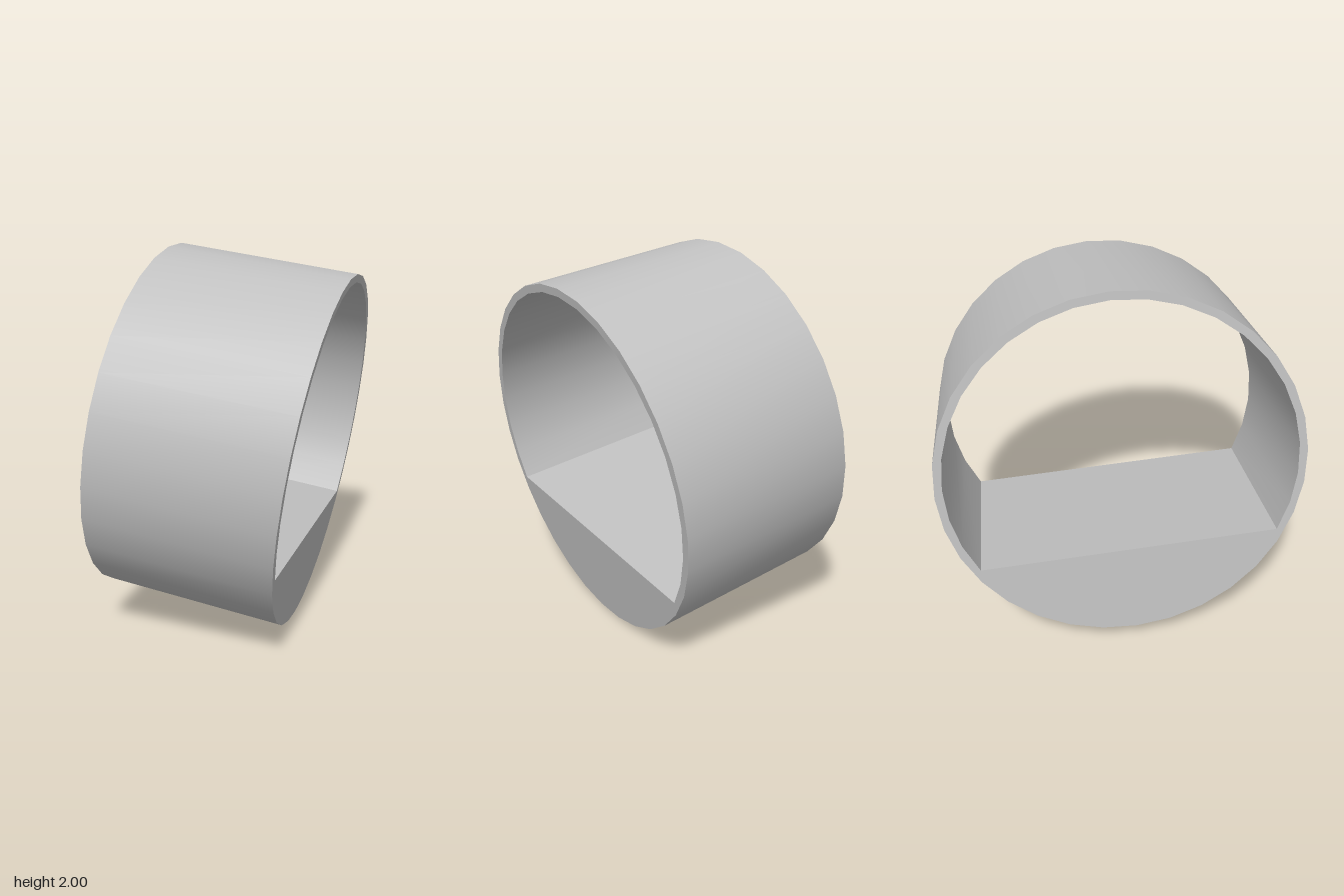
import * as THREE from 'three';
import { toCreasedNormals } from 'three/addons/utils/BufferGeometryUtils.js';

const OUTER = 0.942, INNER = 0.9, LENGTH = 0.96, SIDES = 32;

// Points along a circular arc
function arc(radius, from, to, steps) {
  return Array.from({ length: steps + 1 }, (_, i) => {
    const t = from + (to - from) * i / steps;
    return new THREE.Vector2(Math.cos(t) * radius, Math.sin(t) * radius);
  });
}

export function createModel() {
  const grey = new THREE.MeshStandardMaterial({ color: 0xc0c0c0 });
  grey.name = 'light grey';

  // Round outline with a D-shaped bore: the arc closes along a flat floor at half radius
  const outline = new THREE.Shape(arc(OUTER, 0, Math.PI * 2, SIDES).slice(0, -1));
  outline.holes.push(new THREE.Path(arc(INNER, -Math.PI / 6, Math.PI * 7 / 6, 22)));

  // Sleeve with smooth walls and sharp rims
  const solid = new THREE.ExtrudeGeometry(outline, { depth: LENGTH, bevelEnabled: false });
  solid.translate(0, 0, -LENGTH / 2);
  const sleeve = new THREE.Mesh(toCreasedNormals(solid, 0.5), grey);
  sleeve.name = 'sleeve';

  // Tilt: local z runs along the bore, local x along the floor's width
  const axis = new THREE.Vector3(0.98, -0.141, 0.143).normalize();
  const across = new THREE.Vector3(0.138, -0.061, -0.988);
  const up = new THREE.Vector3().crossVectors(axis, across).normalize();
  across.crossVectors(up, axis);
  sleeve.quaternion.setFromRotationMatrix(new THREE.Matrix4().makeBasis(across, up, axis));
  sleeve.position.y = 1;

  const group = new THREE.Group();
  group.name = 'tilted sleeve';
  group.add(sleeve);
  return group;
}
